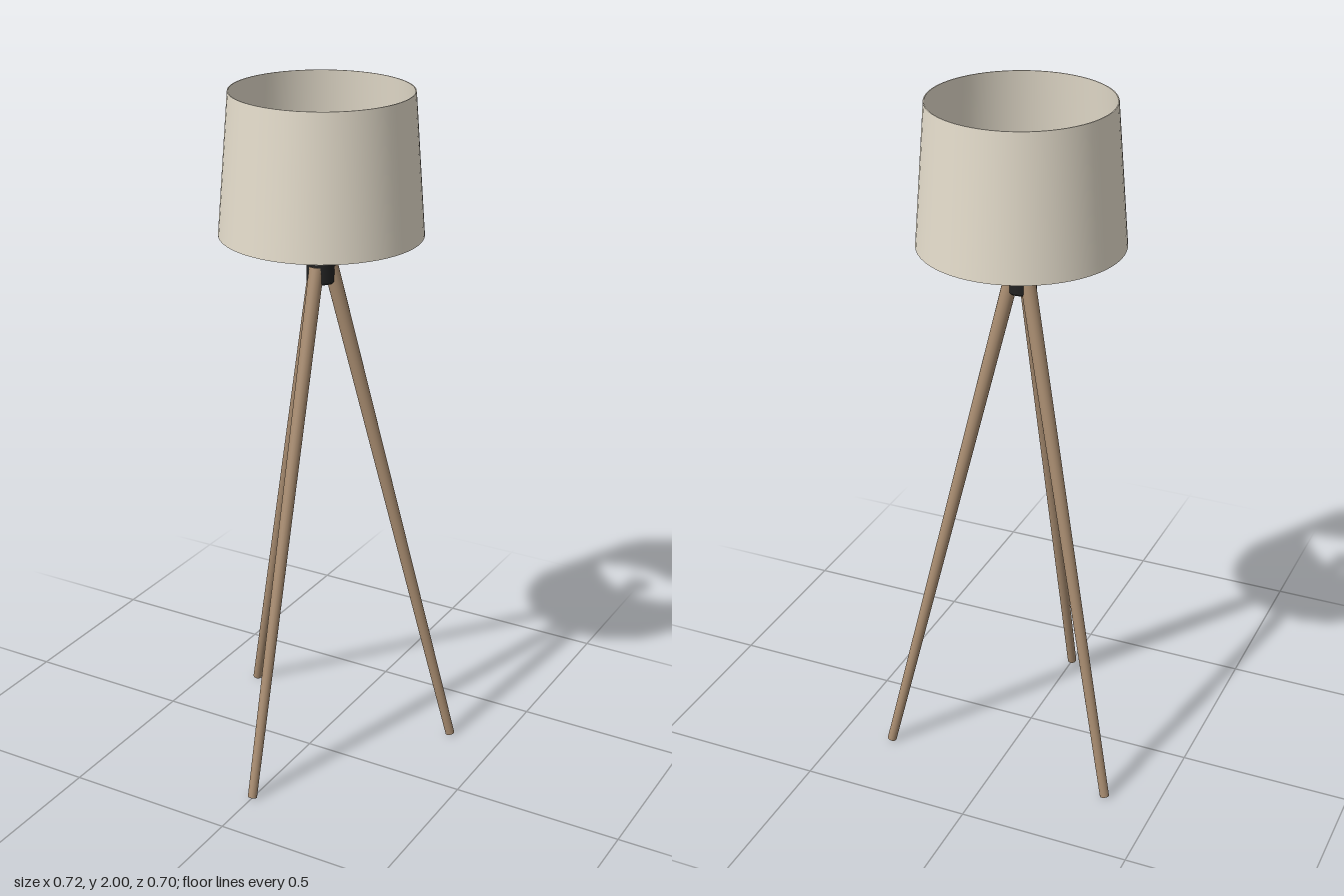
import * as THREE from 'three';

const mat = (name, color, side = THREE.FrontSide) => {
  const m = new THREE.MeshStandardMaterial({ color, side });
  m.name = name;
  return m;
};

export function createModel() {
  const lamp = new THREE.Group();
  lamp.name = 'tripodLamp';
  const fabric = mat('linen', 0xe4dccb, THREE.DoubleSide);
  const wood = mat('wood', 0xa88c70);
  const metal = mat('blackMetal', 0x222222);
  const glass = mat('bulbGlass', 0xf0eadb);

  // Everything sits on one axis, slightly behind the middle
  const axis = new THREE.Group();
  axis.name = 'lampBody';
  axis.position.z = -0.065;
  lamp.add(axis);

  const add = (name, geometry, material) => {
    const mesh = new THREE.Mesh(geometry, material);
    mesh.name = name;
    axis.add(mesh);
    return mesh;
  };

  // Lathe built band by band, so profile corners stay sharp
  const turned = (name, profile, material, segments = 32) => {
    const group = new THREE.Group();
    group.name = name;
    for (let i = 0; i < profile.length - 1; i++) {
      const pts = [profile[i], profile[i + 1]].map(([r, y]) => new THREE.Vector2(r, y));
      const band = new THREE.Mesh(new THREE.LatheGeometry(pts, segments), material);
      band.name = name + 'Band';
      group.add(band);
    }
    axis.add(group);
  };

  // Tapered round bar between two points
  const bar = (name, from, to, rFrom, rTo, material, sides) => {
    const dir = to.clone().sub(from);
    const mesh = add(name, new THREE.CylinderGeometry(rTo, rFrom, dir.length(), sides), material);
    mesh.position.copy(from).add(to).multiplyScalar(0.5);
    mesh.quaternion.setFromUnitVectors(new THREE.Vector3(0, 1, 0), dir.normalize());
  };
  const polar = (angle, r, y) => new THREE.Vector3(Math.sin(angle) * r, y, Math.cos(angle) * r);

  // Thin open drum shade
  turned('shade', [[0.281, 1.603], [0.284, 1.603], [0.253, 2], [0.25, 2], [0.281, 1.603]], fabric, 64);

  // Hub, stem, socket and bulb
  turned('hub', [[0, 1.465], [0.037, 1.465], [0.041, 1.471], [0.041, 1.523], [0.037, 1.53], [0, 1.53]], metal);
  bar('stem', new THREE.Vector3(0, 1.52, 0), new THREE.Vector3(0, 1.67, 0), 0.01, 0.01, metal, 20);
  turned('socket', [[0, 1.655], [0.02, 1.655], [0.028, 1.668], [0.028, 1.745], [0.022, 1.757], [0, 1.757]], metal);
  add('bulb', new THREE.SphereGeometry(0.041, 32, 20), glass).position.y = 1.79;

  // Three legs, with shade spokes set opposite them
  for (let i = 0; i < 3; i++) {
    const a = (i * Math.PI * 2) / 3;
    bar('leg', polar(a, 0.4, 0.0035), polar(a, 0.026, 1.512), 0.0135, 0.021, wood, 20);
    bar('shadeSpoke', polar(a + Math.PI, 0.01, 1.7), polar(a + Math.PI, 0.28, 1.62), 0.0023, 0.0023, metal, 8);
  }
  return lamp;
}
